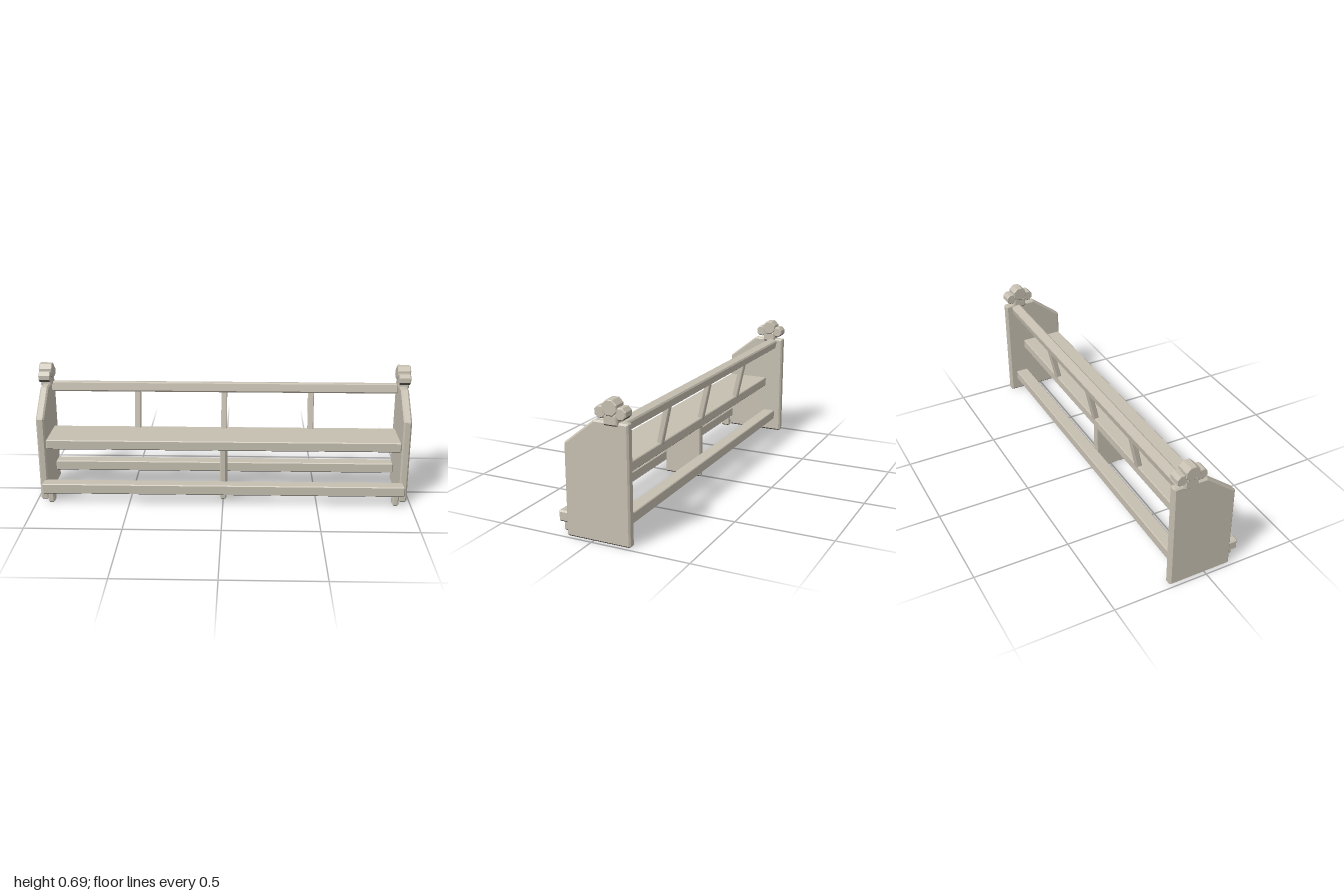
import * as THREE from 'three';

const wood = new THREE.MeshStandardMaterial({ color: 0xc6bfb1 });
wood.name = 'weathered wood';
const underside = new THREE.MeshStandardMaterial({ color: 0x625f5a });
underside.name = 'dark underside';

// Cut each corner of a [z, y] outline by distance c
function chamfer(points, c) {
  const out = [];
  points.forEach((p, i) => {
    const n = points.length;
    for (const q of [points[(i + n - 1) % n], points[(i + 1) % n]]) {
      const t = c / Math.hypot(q[0] - p[0], q[1] - p[1]);
      out.push([p[0] + (q[0] - p[0]) * t, p[1] + (q[1] - p[1]) * t]);
    }
  });
  return out;
}

// Give faces that point down the dark colour
function splitUnderside(geometry) {
  const normal = geometry.attributes.normal;
  geometry.clearGroups();
  for (let i = 0; i < normal.count; i += 3) {
    geometry.addGroup(i, 3, normal.getY(i) < -0.6 ? 1 : 0);
  }
}

// Bevelled solid: a [z, y] outline running from x0 to x1
function prism(name, points, x0, x1, bevel = 0.007, cut = bevel * 0.6) {
  const outline = cut ? chamfer(points, cut) : points;
  const shape = new THREE.Shape(outline.map(([z, y]) => new THREE.Vector2(-z, y)));
  const geometry = new THREE.ExtrudeGeometry(shape, {
    depth: x1 - x0 - 2 * bevel, bevelEnabled: true, bevelSegments: 1,
    bevelThickness: bevel, bevelSize: bevel, bevelOffset: -bevel,
  });
  geometry.rotateY(Math.PI / 2).translate(x0 + bevel, 0, 0);
  splitUnderside(geometry);
  const mesh = new THREE.Mesh(geometry, [wood, underside]);
  mesh.name = name;
  return mesh;
}

const rect = (z0, z1, y0, y1) => [[z0, y0], [z1, y0], [z1, y1], [z0, y1]];

// Flat-topped octagon of half-width a
const octagon = (z, y, a) => Array.from({ length: 8 }, (_, i) => {
  const t = (i + 0.5) * Math.PI / 4, r = a / Math.cos(Math.PI / 8);
  return [z + r * Math.cos(t), y + r * Math.sin(t)];
});

// Square of side s leaning backward by the given angle
function leaningSquare(z, y, s, angle) {
  const c = Math.cos(angle), n = Math.sin(angle);
  return [[-1, -1], [1, -1], [1, 1], [-1, 1]].map(([u, v]) =>
    [z + (u * c - v * n) * s / 2, y + (u * n + v * c) * s / 2]);
}

export function createModel() {
  const bench = new THREE.Group();
  bench.name = 'bench';

  // Seat, long rails and middle support
  bench.add(
    prism('seat', rect(-0.098, 0.135, 0.285, 0.337), -0.942, 0.942),
    prism('topRail', leaningSquare(-0.133, 0.556, 0.054, 0.2), -0.942, 0.942, 0.007, 0.007),
    prism('backLowerRail', rect(-0.158, -0.088, 0.075, 0.13), -0.942, 0.942),
    prism('footRail', rect(0.128, 0.195, 0.055, 0.11), -0.965, 0.965),
    prism('middleSupport', rect(-0.09, 0.118, 0, 0.295), -0.018, 0.018),
  );

  // Leaning back spindles
  for (const x of [-0.473, 0, 0.473]) {
    const outline = [[-0.1, 0.325], [-0.07, 0.325], [-0.118, 0.545], [-0.148, 0.545]];
    bench.add(prism('spindle', outline, x - 0.016, x + 0.016, 0.004));
  }

  // Ends: panel, front foot and carved three-lobed finial
  const panel = [[0.14, 0], [-0.195, 0], [-0.195, 0.585], [-0.02, 0.585], [0.14, 0.457]];
  for (const side of [-1, 1]) {
    const end = new THREE.Group();
    end.name = side > 0 ? 'leftEnd' : 'rightEnd';
    const add = (name, points, a, b, bevel, cut) => end.add(
      prism(name, points, Math.min(a * side, b * side), Math.max(a * side, b * side), bevel, cut));
    add('endPanel', panel, 0.942, 0.985, 0.008);
    add('frontFoot', rect(0.135, 0.187, 0, 0.06), 0.902, 0.936);
    add('finialBase', rect(-0.147, -0.075, 0.57, 0.625), 0.935, 0.995);
    add('finialTop', octagon(-0.111, 0.654, 0.037), 0.93, 1, 0.004, 0);
    for (const z of [-0.061, -0.163]) {
      add('finialLobe', octagon(z, 0.63, 0.028), 0.934, 0.996, 0.004, 0);
    }
    bench.add(end);
  }
  return bench;
}
